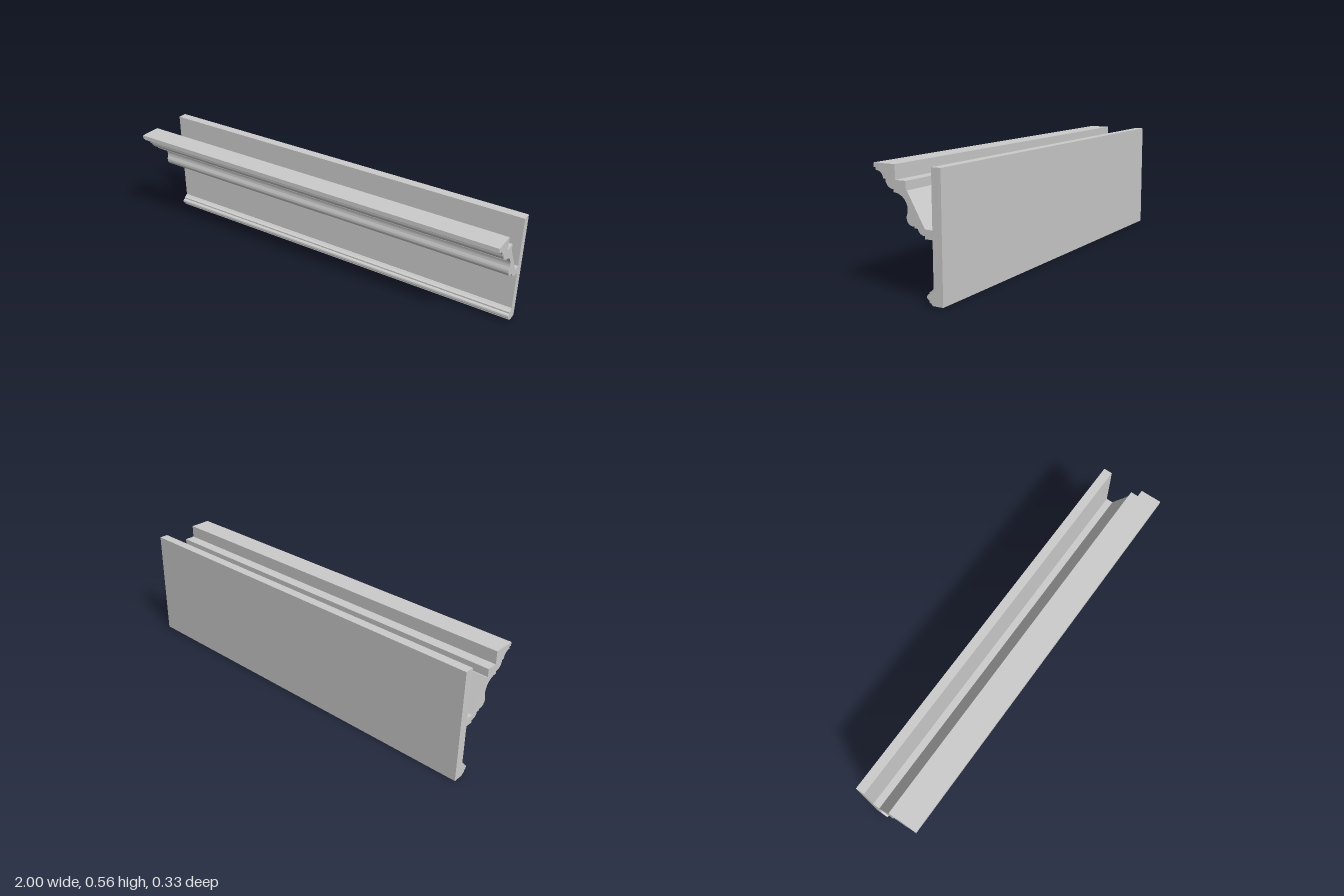
import * as THREE from 'three';
import { toCreasedNormals } from 'three/addons/utils/BufferGeometryUtils.js';

const LENGTH = 2;
const K = 0.5523; // cubic handle length for a quarter ellipse

// Profile pen: coordinates are (z, y) of the cross-section
function pen(z, y) {
  const shape = new THREE.Shape();
  shape.moveTo(z, y);
  const p = {
    shape,
    line(...pts) {
      for (const [a, b] of pts) shape.lineTo(a, b);
      return p;
    },
    // quarter ellipse leaving the current point horizontally ('h') or vertically ('v')
    quarter(dir, a, b) {
      const { x, y: y0 } = shape.currentPoint;
      const dx = (a - x) * K, dy = (b - y0) * K;
      if (dir === 'h') shape.bezierCurveTo(x + dx, y0, a, b - dy, a, b);
      else shape.bezierCurveTo(x, y0 + dy, a - dx, b, a, b);
      return p;
    },
    // S-curve with vertical tangents at both ends
    ogee(a, b) {
      const { x, y: y0 } = shape.currentPoint;
      const m = (y0 + b) / 2;
      shape.bezierCurveTo(x, m, a, m, a, b);
      return p;
    },
  };
  return p;
}

// Run a profile along the full length in x
function run(name, shape, material) {
  let geo = new THREE.ExtrudeGeometry(shape, { depth: LENGTH, bevelEnabled: false, curveSegments: 12 });
  geo.rotateY(-Math.PI / 2);
  geo.translate(LENGTH / 2, 0, 0);
  geo = toCreasedNormals(geo, 0.5);
  const mesh = new THREE.Mesh(geo, material);
  mesh.name = name;
  return mesh;
}

export function createModel() {
  const group = new THREE.Group();
  group.name = 'crownMouldingSection';
  const material = new THREE.MeshStandardMaterial({ color: 0xcccccc });

  // Flat wall board behind the mouldings
  const board = pen(-0.166, 0).line([-0.121, 0], [-0.121, 0.556], [-0.166, 0.556]);

  // Small rounded bead along the foot of the board
  const bead = pen(-0.121, 0)
    .line([-0.116, 0], [-0.109, 0.008], [-0.1, 0.013], [-0.1, 0.021])
    .quarter('h', -0.088, 0.034)
    .quarter('v', -0.1, 0.047)
    .line([-0.1, 0.055], [-0.106, 0.057], [-0.113, 0.062], [-0.117, 0.067], [-0.121, 0.068]);

  // Projecting crown: fillets, coves and rounds in front, stepped back
  const crown = pen(0.167, 0.556)
    .line([0.167, 0.538], [0.157, 0.538], [0.157, 0.527])
    .quarter('h', 0.119, 0.494)
    .line([0.108, 0.494])
    .quarter('v', 0.068, 0.455)
    .line([0.068, 0.443])
    .quarter('h', -0.002, 0.377)
    .ogee(0.0045, 0.345)
    .quarter('v', -0.025, 0.313)
    .line([-0.034, 0.313], [-0.034, 0.306], [-0.051, 0.306])
    .quarter('v', -0.085, 0.28)
    .line([-0.085, 0.268], [-0.121, 0.268], [-0.121, 0.307], [-0.085, 0.307])
    .line([0, 0.454], [0.005, 0.454], [0.005, 0.493], [0.058, 0.493], [0.058, 0.556]);

  group.add(
    run('wallBoard', board.shape, material),
    run('footBead', bead.shape, material),
    run('crownMoulding', crown.shape, material),
  );
  return group;
}
